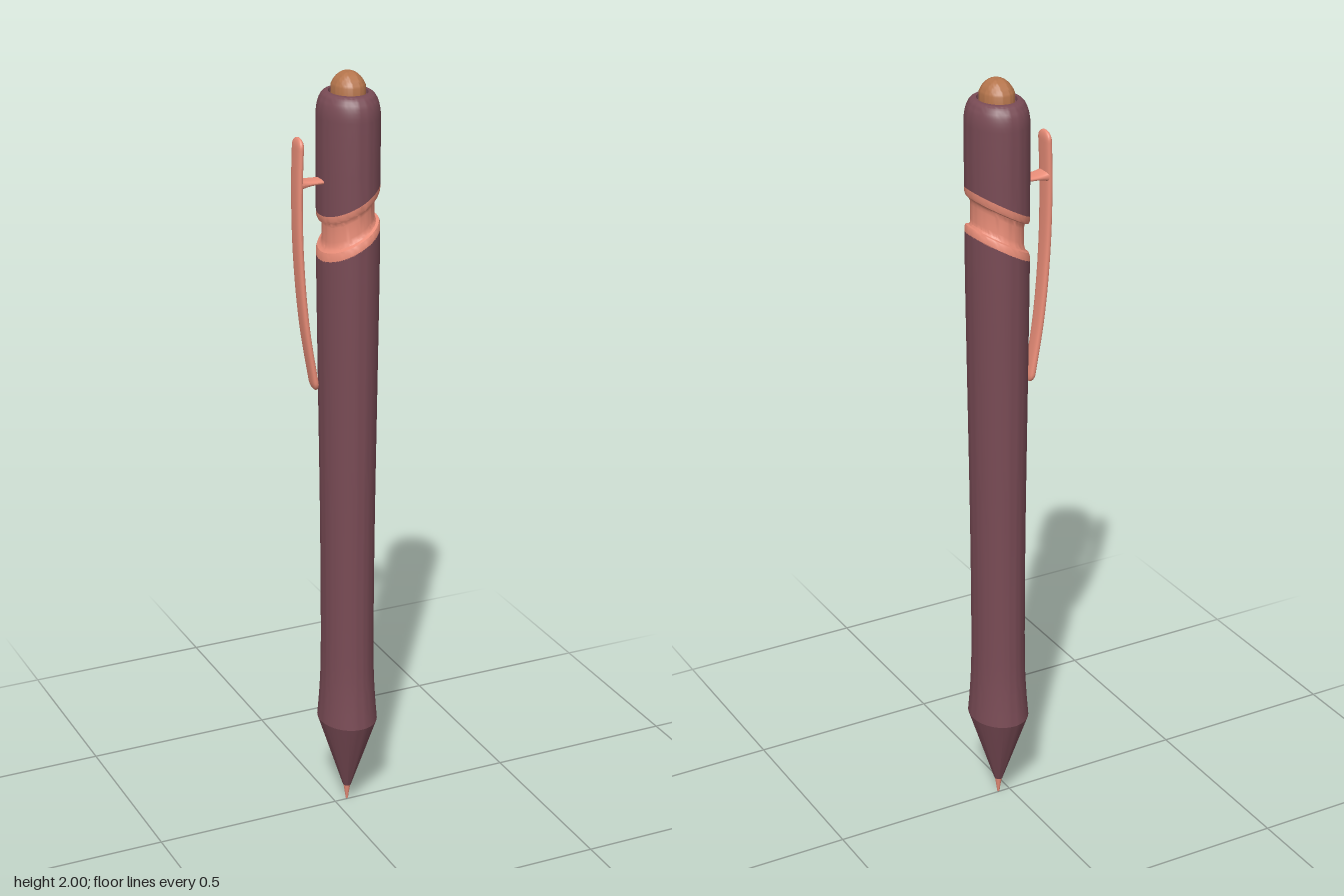
import * as THREE from 'three';
import { toCreasedNormals } from 'three/addons/utils/BufferGeometryUtils.js';

const dark = new THREE.MeshStandardMaterial({ color: 0x794b55 });
const salmon = new THREE.MeshStandardMaterial({ color: 0xea8e79 });
const bronze = new THREE.MeshStandardMaterial({ color: 0xb5754c });
const SLANT = 0.54;

// Lathe from [radius, y] points; the points chosen by slanted() follow the oblique cut
function turned(name, material, pts, slanted = () => false) {
  const geo = new THREE.LatheGeometry(pts.map(([r, y]) => new THREE.Vector2(r, y)), 64);
  const p = geo.attributes.position;
  for (let i = 0; i < p.count; i++) {
    if (slanted(p.getY(i))) p.setY(i, p.getY(i) + SLANT * p.getX(i));
  }
  const mesh = new THREE.Mesh(toCreasedNormals(geo, 0.5), material);
  mesh.name = name;
  return mesh;
}

// Rounded bar along y: section(t) gives [x, y, half thickness, half width]
function bar(name, rows, section) {
  const geo = new THREE.CylinderGeometry(1, 1, 1, 24, rows, true);
  const p = geo.attributes.position;
  for (let i = 0; i < p.count; i++) {
    const [x, y, thick, wide] = section(0.5 - p.getY(i));
    const c = p.getX(i), s = p.getZ(i);
    const soft = (v) => Math.sign(v) * Math.pow(Math.abs(v), 0.7);
    p.setXYZ(i, x + thick * soft(c), y, wide * soft(s));
  }
  geo.computeVertexNormals();
  const mesh = new THREE.Mesh(geo, salmon);
  mesh.name = name;
  return mesh;
}

export function createModel() {
  const pen = new THREE.Group();
  pen.name = 'pen';

  // Oval barrel group: wider in z than in x
  const barrel = new THREE.Group();
  barrel.name = 'barrel';
  barrel.position.x = 0.034;
  barrel.scale.z = 1.2;
  pen.add(barrel);

  barrel.add(turned('nib', salmon, [[0, 0], [0.003, 0.004], [0.005, 0.02], [0.0095, 0.05], [0, 0.05]]));
  barrel.add(turned('tipCone', dark, [[0, 0.047], [0.0105, 0.047], [0.076, 0.255]]));

  // Lower body with a gentle waist and an oblique upper end
  const waist = new THREE.SplineCurve([
    [0.076, 0.255], [0.0705, 0.33], [0.067, 0.42], [0.0665, 0.6], [0.068, 0.85],
    [0.0715, 1.15], [0.0745, 1.4], [0.0755, 1.5],
  ].map(([r, y]) => new THREE.Vector2(r, y))).getPoints(28).map((v) => [v.x, v.y]);
  barrel.add(turned('lowerBody', dark, [...waist, [0.076, 1.575]], (y) => y > 1.55));

  // Slanted neck with a rim at each end
  barrel.add(turned('neck', salmon, [
    [0.076, 1.574], [0.0755, 1.588], [0.073, 1.595], [0.066, 1.598], [0.063, 1.604], [0.062, 1.614],
    [0.062, 1.652], [0.063, 1.661], [0.066, 1.667], [0.073, 1.67], [0.0755, 1.677], [0.076, 1.691],
  ], () => true));

  // Upper cap with rounded shoulder and a recess for the button
  const cap = [[0.076, 1.69], [0.076, 1.76], [0.076, 1.89]];
  for (let i = 1; i <= 8; i++) {
    const a = (i / 8) * Math.PI / 2;
    cap.push([0.052 + 0.024 * Math.cos(a), 1.89 + 0.06 * Math.sin(a)]);
  }
  cap.push([0.047, 1.95], [0.045, 1.94], [0, 1.94]);
  barrel.add(turned('upperBody', dark, cap, (y) => y < 1.72));

  // Push button
  const button = [[0.041, 1.935], [0.041, 1.965]];
  for (let i = 1; i <= 10; i++) {
    const a = (i / 10) * Math.PI / 2;
    button.push([0.018 * (1 - i / 10) + 0.023 * Math.cos(a), 1.965 + 0.035 * Math.sin(a)]);
  }
  barrel.add(turned('pushButton', bronze, button));

  // Bowed clip, rounded at both ends
  const path = new THREE.CatmullRomCurve3([
    [-0.098, 1.85], [-0.102, 1.72], [-0.099, 1.55], [-0.084, 1.37], [-0.056, 1.195],
  ].map(([x, y]) => new THREE.Vector3(x, y, 0)));
  pen.add(bar('clip', 60, (t) => {
    const u = (1 - Math.cos(Math.PI * t)) / 2;
    const q = path.getPointAt(u);
    const end = Math.min(1, Math.min(u, 1 - u) / 0.035);
    const round = Math.sqrt(1 - (1 - end) ** 2);
    return [q.x, q.y, 0.0085 * round, (0.027 - 0.007 * u) * round];
  }));

  // Bracket joining clip to cap, flared at the clip
  const bracket = bar('clipBracket', 12, (t) => {
    const flare = Math.pow(t, 4);
    return [0, -0.07 * t, 0.006 + 0.009 * flare, 0.021 + 0.004 * t];
  });
  bracket.rotation.z = -Math.PI / 2;
  bracket.position.set(-0.03, 1.735, 0);
  pen.add(bracket);

  return pen;
}
